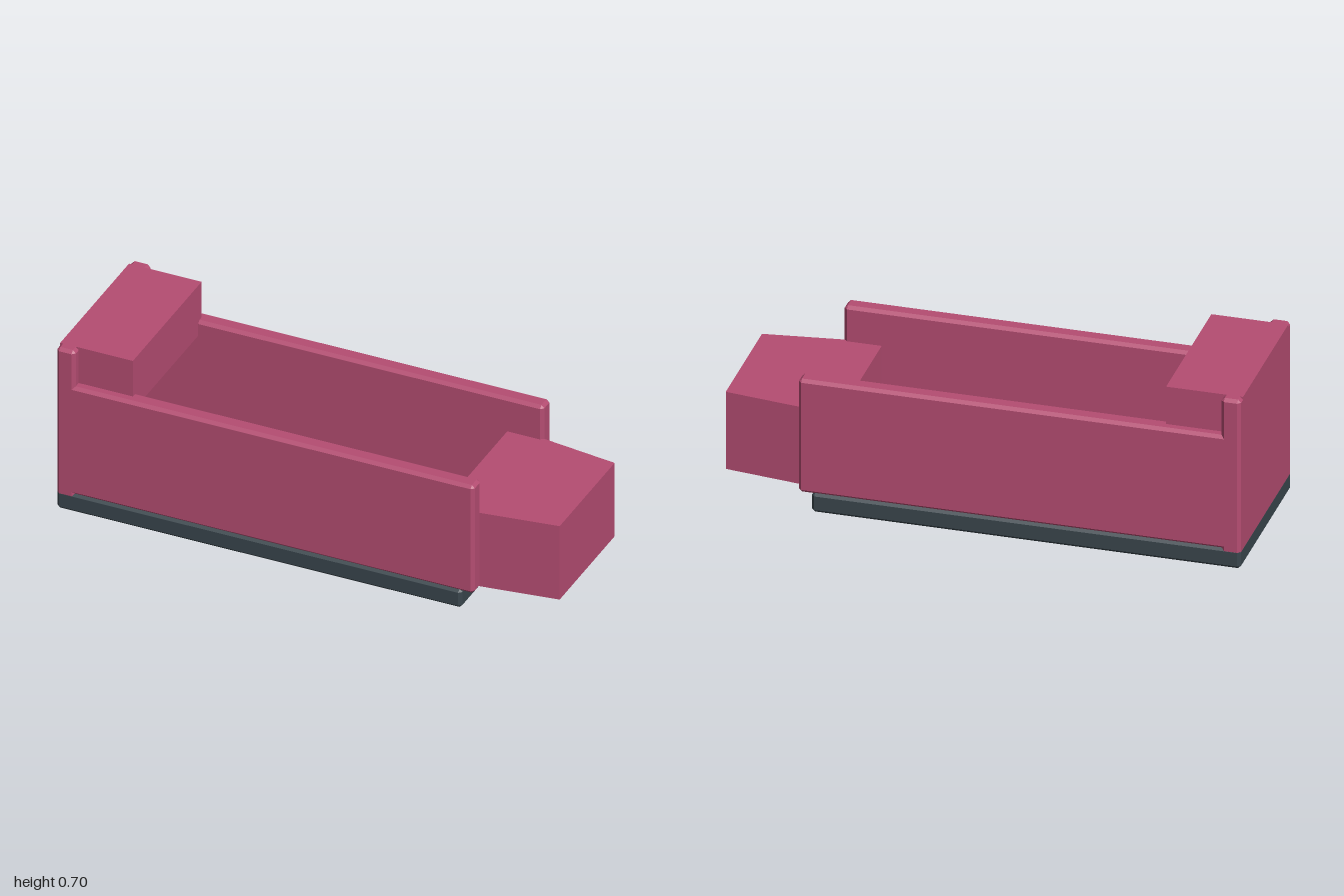
import * as THREE from 'three';
import { ConvexGeometry } from 'three/addons/geometries/ConvexGeometry.js';

const BEVEL = 0.012;

// Box between two corners with every edge cut at 45 degrees
function chamferedBox(min, max, c = BEVEL) {
  const points = [];
  for (let i = 0; i < 8; i++) {
    const high = [i & 1, i & 2, i & 4];
    for (let face = 0; face < 3; face++) {
      const p = high.map((h, axis) => {
        const inset = axis === face ? 0 : c;
        return h ? max[axis] - inset : min[axis] + inset;
      });
      points.push(new THREE.Vector3(...p));
    }
  }
  return new ConvexGeometry(points);
}

// Plain box between two corners
function plainBox(min, max) {
  const size = max.map((v, i) => v - min[i]);
  const mid = max.map((v, i) => (v + min[i]) / 2);
  return new THREE.BoxGeometry(...size).translate(...mid);
}

export function createModel() {
  const group = new THREE.Group();
  const pink = new THREE.MeshStandardMaterial({ color: 0xb54d72, flatShading: true });
  const dark = new THREE.MeshStandardMaterial({ color: 0x3a464d, flatShading: true });

  const add = (name, geometry, material) => {
    const mesh = new THREE.Mesh(geometry, material);
    mesh.name = name;
    group.add(mesh);
  };

  // Dark floor slab
  add('base', chamferedBox([-1, 0, -0.337], [0.645, 0.08, 0.337]), dark);

  // Long side walls, mirrored in z
  add('leftWall', chamferedBox([-0.96, 0.076, 0.27], [0.695, 0.545, 0.337]), pink);
  add('rightWall', chamferedBox([-0.96, 0.076, -0.337], [0.695, 0.545, -0.27]), pink);

  // Tall end wall and the overhanging block on its top
  add('endWall', chamferedBox([-1, 0.057, -0.337], [-0.925, 0.7, 0.337]), pink);
  add('topBlock', plainBox([-1, 0.482, -0.3], [-0.705, 0.7, 0.3]), pink);

  // Tapered nose, extruded upward from its plan outline
  const plan = new THREE.Shape([
    [0.55, -0.3], [1, -0.24], [1, 0.24], [0.55, 0.3],
  ].map(([x, z]) => new THREE.Vector2(x, z)));
  const nose = new THREE.ExtrudeGeometry(plan, { depth: 0.32, bevelEnabled: false });
  nose.rotateX(-Math.PI / 2).translate(0, 0.081, 0);
  add('nose', nose, pink);

  return group;
}
